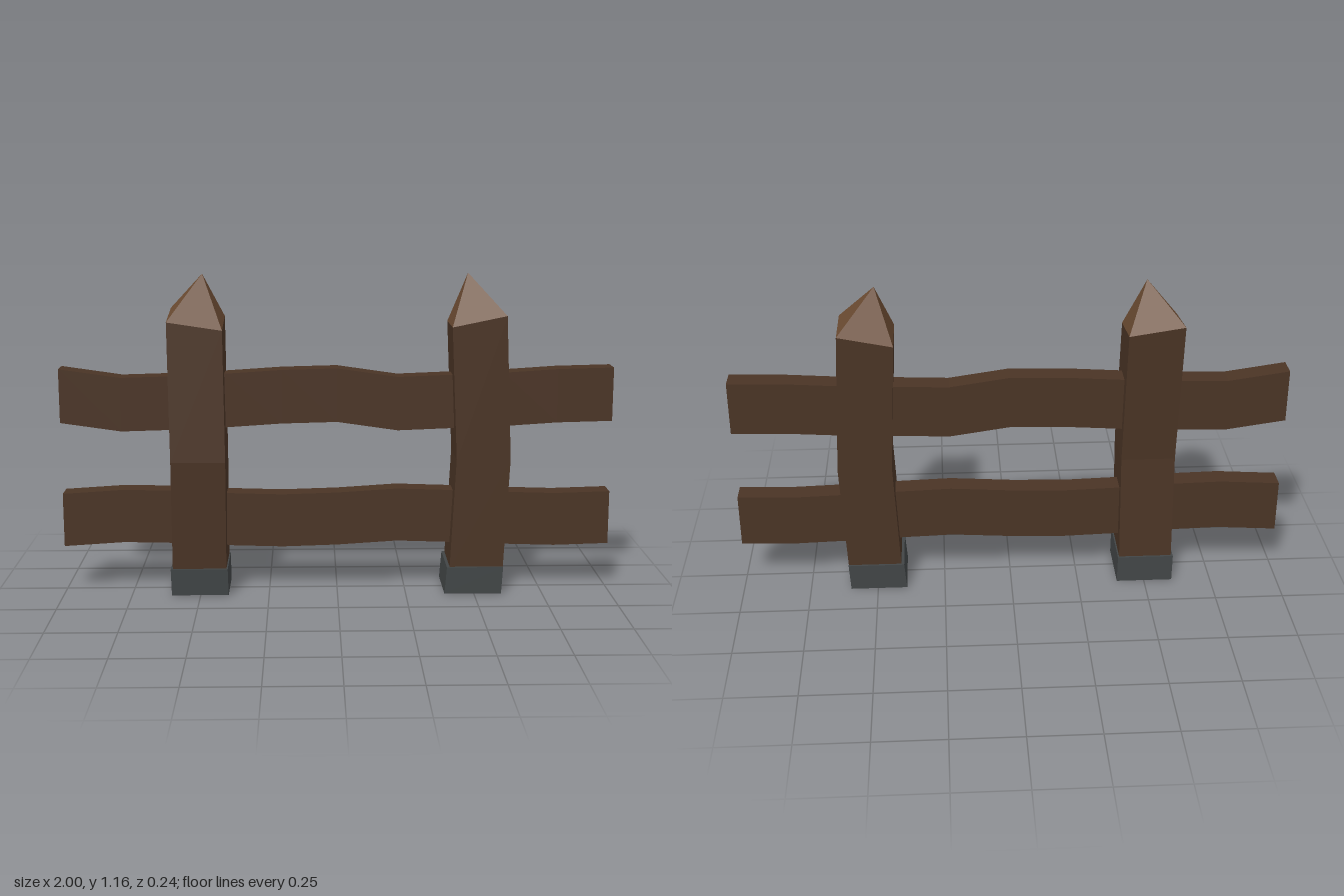
import * as THREE from 'three';

const wood = new THREE.MeshStandardMaterial({ color: 0x4a3425, flatShading: true });
const cutWood = new THREE.MeshStandardMaterial({ color: 0x6b4b32, flatShading: true });
const stone = new THREE.MeshStandardMaterial({ color: 0x414546, flatShading: true });

// Mesh from a list of polygons, each fanned into flat triangles
function polyMesh(name, polygons, material) {
  const pos = [];
  for (const p of polygons)
    for (let i = 1; i < p.length - 1; i++) pos.push(...p[0], ...p[i], ...p[i + 1]);
  const geo = new THREE.BufferGeometry();
  geo.setAttribute('position', new THREE.Float32BufferAttribute(pos, 3));
  geo.computeVertexNormals();
  const mesh = new THREE.Mesh(geo, material);
  mesh.name = name;
  return mesh;
}

// Side quads between successive four-cornered rings
function sides(rings) {
  const quads = [];
  for (let r = 0; r < rings.length - 1; r++)
    for (let i = 0; i < 4; i++) {
      const j = (i + 1) % 4;
      quads.push([rings[r][i], rings[r][j], rings[r + 1][j], rings[r + 1][i]]);
    }
  return quads;
}

// Horizontal ring: front left, front right, back right, back left; y may vary per corner
function ring(x0, x1, z0, z1, y) {
  const h = Array.isArray(y) ? y : [y, y, y, y];
  return [[x0, h[0], z1], [x1, h[1], z1], [x1, h[2], z0], [x0, h[3], z0]];
}

// Bent post with a cut point and a stone foot
function makePost(name, { body, foot, apex }) {
  const post = new THREE.Group();
  post.name = name;
  const rings = body.map(s => ring(...s));
  const top = rings[rings.length - 1];
  post.add(polyMesh('postBody', sides(rings), wood));
  post.add(polyMesh('postPoint', top.map((c, i) => [c, top[(i + 1) % 4], apex]), cutWood));
  const f = foot.map(s => ring(...s));
  post.add(polyMesh('postFoot', [...sides(f), f[1], [...f[0]].reverse()], stone));
  return post;
}

// Wavy plank running along x, with pale cut ends
function makeRail(name, bottoms, height) {
  const xs = [-1, -0.78, -0.6, -0.4, -0.2, 0, 0.22, 0.4, 0.6, 0.8, 1];
  const z0 = -0.05, z1 = 0.03;
  const rings = xs.map((x, i) => {
    const y0 = bottoms[i], y1 = y0 + height;
    return [[x, y0, z1], [x, y0, z0], [x, y1, z0], [x, y1, z1]];
  });
  const rail = new THREE.Group();
  rail.name = name;
  rail.add(polyMesh('railPlank', sides(rings), wood));
  rail.add(polyMesh('railEnds', [[...rings[0]].reverse(), rings[rings.length - 1]], cutWood));
  return rail;
}

export function createModel() {
  const fence = new THREE.Group();
  fence.name = 'fence';

  // Right-hand post bows forward
  fence.add(makePost('rightPost', {
    body: [
      [-0.6, -0.405, -0.105, 0.095, 0.09],
      [-0.598, -0.402, -0.08, 0.118, 0.5],
      [-0.605, -0.408, -0.11, 0.087, [1.0, 0.97, 1.0, 1.03]],
    ],
    foot: [
      [-0.605, -0.398, -0.118, 0.097, 0],
      [-0.607, -0.4, -0.112, 0.104, 0.1],
    ],
    apex: [-0.48, 1.165, 0.01],
  }));

  // Left-hand post bows sideways
  fence.add(makePost('leftPost', {
    body: [
      [0.41, 0.605, -0.11, 0.09, 0.09],
      [0.43, 0.625, -0.11, 0.09, 0.5],
      [0.408, 0.602, -0.11, 0.09, [0.98, 1.02, 1.02, 0.98]],
    ],
    foot: [
      [0.392, 0.6, -0.118, 0.098, 0],
      [0.4, 0.606, -0.118, 0.098, 0.1],
    ],
    apex: [0.47, 1.165, -0.01],
  }));

  // Rails
  fence.add(makeRail('upperRail',
    [0.63, 0.598, 0.603, 0.612, 0.625, 0.63, 0.598, 0.605, 0.612, 0.625, 0.63], 0.196));
  fence.add(makeRail('lowerRail',
    [0.17, 0.184, 0.18, 0.17, 0.164, 0.17, 0.184, 0.178, 0.17, 0.164, 0.17], 0.197));

  return fence;
}
